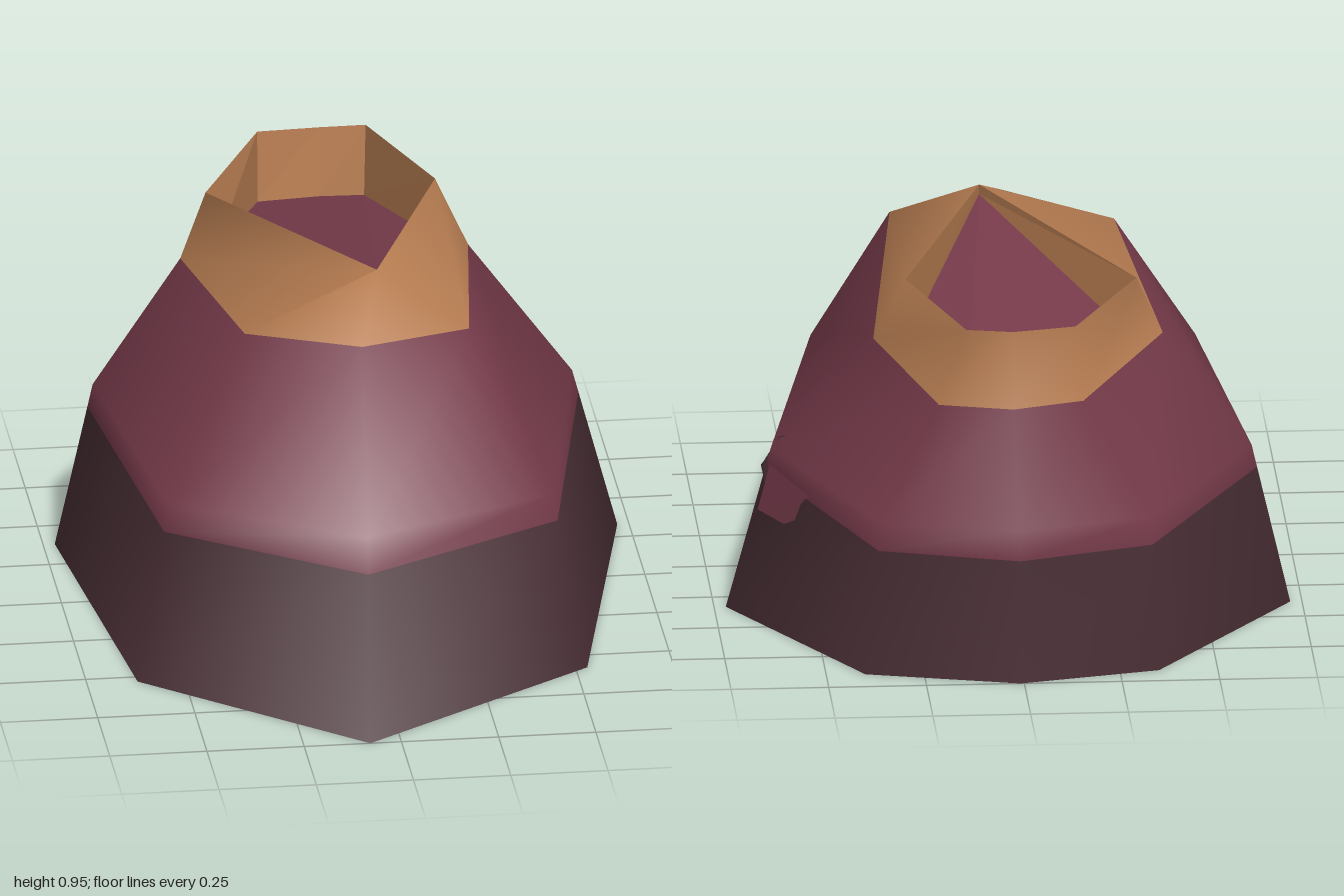
import * as THREE from 'three';

const mat = (name, color) => {
  const m = new THREE.MeshStandardMaterial({ color });
  m.name = name;
  return m;
};

// Cross-sections run front, front-left, left, back-left, back, back-right, right, front-right
const base = [[-0.08, 0, 1], [0.53, 0, 0.58], [0.72, 0, -0.33], [0.40, 0, -0.90],
  [0.01, 0, -1], [-0.35, 0, -0.915], [-0.72, 0, -0.38], [-0.62, 0, 0.53]];
const shoulder = [[-0.06, 0.48, 0.79], [0.45, 0.45, 0.50], [0.605, 0.43, -0.34], [0.36, 0.41, -0.92],
  [0.01, 0.41, -1], [-0.33, 0.41, -0.91], [-0.62, 0.43, -0.40], [-0.53, 0.45, 0.45]];
const collar = [[-0.03, 0.855, 0.43], [0.26, 0.84, 0.31], [0.35, 0.75, -0.44], [0.21, 0.71, -0.87],
  [0.02, 0.70, -0.89], [-0.16, 0.71, -0.86], [-0.39, 0.75, -0.44], [-0.31, 0.83, 0.25]];
const opening = [[0.04, 0.955, 0.17], [0.27, 0.92, -0.48], [0.14, 0.91, -0.87],
  [0.02, 0.905, -0.88], [-0.14, 0.91, -0.86], [-0.32, 0.912, -0.48]];
const floor = [[0.04, 0.93, 0.17], [0.265, 0.76, -0.48], [0.135, 0.72, -0.86],
  [0.02, 0.72, -0.865], [-0.14, 0.72, -0.85], [-0.29, 0.77, -0.47]];

// Top edge of the dark band, part-way up to the shoulder
const bandShare = [0.82, 0.85, 0.86, 0.82, 0.8, 0.82, 0.86, 0.85];
const band = base.map((p, i) => p.map((v, k) => v + (shoulder[i][k] - v) * bandShare[i]));
// The front three collar corners all meet the peak of the opening
const rim = [0, 0, 1, 2, 3, 4, 5, 0].map((i) => opening[i]);

// Skin through closed rings, one material group per strip
function loft(rings, groups) {
  const n = rings[0].length, index = [];
  for (let r = 0; r < rings.length - 1; r++) {
    for (let i = 0; i < n; i++) {
      const j = (i + 1) % n, a = r * n + i, b = r * n + j;
      index.push(a, b, b + n, a, b + n, a + n);
    }
  }
  const g = new THREE.BufferGeometry();
  g.setAttribute('position', new THREE.Float32BufferAttribute(rings.flat(2), 3));
  g.setIndex(index);
  groups.forEach((m, r) => g.addGroup(r * n * 6, n * 6, m));
  g.computeVertexNormals();
  return g;
}

// Closed face over one ring
function cap(ring, down) {
  const index = [];
  for (let i = 1; i < ring.length - 1; i++) index.push(0, down ? i + 1 : i, down ? i : i + 1);
  const g = new THREE.BufferGeometry();
  g.setAttribute('position', new THREE.Float32BufferAttribute(ring.flat(), 3));
  g.setIndex(index);
  const flat = g.toNonIndexed();
  flat.computeVertexNormals();
  return flat;
}

// Thin patch laid on the left flank, outlined as [z, y] pairs
function flankPatch(outline) {
  const g = new THREE.ShapeGeometry(new THREE.Shape(outline.map(([z, y]) => new THREE.Vector2(-z, y))));
  const p = g.attributes.position;
  for (let i = 0; i < p.count; i++) {
    const z = -p.getX(i), y = p.getY(i);
    const f = Math.max(0, (-0.33 - z) / 0.57);
    const x = THREE.MathUtils.lerp(0.72 - 0.267 * y, 0.40 - 0.1 * y, f) - Math.max(0, y - 0.43) * 0.45;
    p.setXYZ(i, x + 0.007, y, z);
  }
  g.computeVertexNormals();
  return g;
}

export function createModel() {
  const wine = mat('wine', 0x773b4b);
  const dark = mat('darkPlum', 0x4c3138);
  const tan = mat('tan', 0xba7f53);
  const model = new THREE.Group();
  model.name = 'shell';
  const add = (name, geometry, material) => {
    const m = new THREE.Mesh(geometry, material);
    m.name = name;
    model.add(m);
  };

  // Outer skin: dark band, wine sides, tan collar
  add('outerSkin', loft([base, band, shoulder, collar, rim], [0, 1, 1, 2]), [dark, wine, tan]);
  add('underside', cap(base, true), wine);

  // Recessed opening
  const wall = loft([opening, floor], [0]).toNonIndexed();
  wall.computeVertexNormals();
  add('openingWall', wall, [tan]);
  add('openingFloor', cap(floor, false), wine);

  // Step in the band edge on the left flank
  add('bandNotch', flankPatch([[-0.36, 0.27], [-0.52, 0.27], [-0.535, 0.34], [-0.56, 0.37], [-0.36, 0.39]]), wine);
  add('bandSpike', flankPatch([[-0.30, 0.37], [-0.36, 0.34], [-0.375, 0.40], [-0.365, 0.47], [-0.345, 0.46], [-0.33, 0.39]]), dark);
  return model;
}
